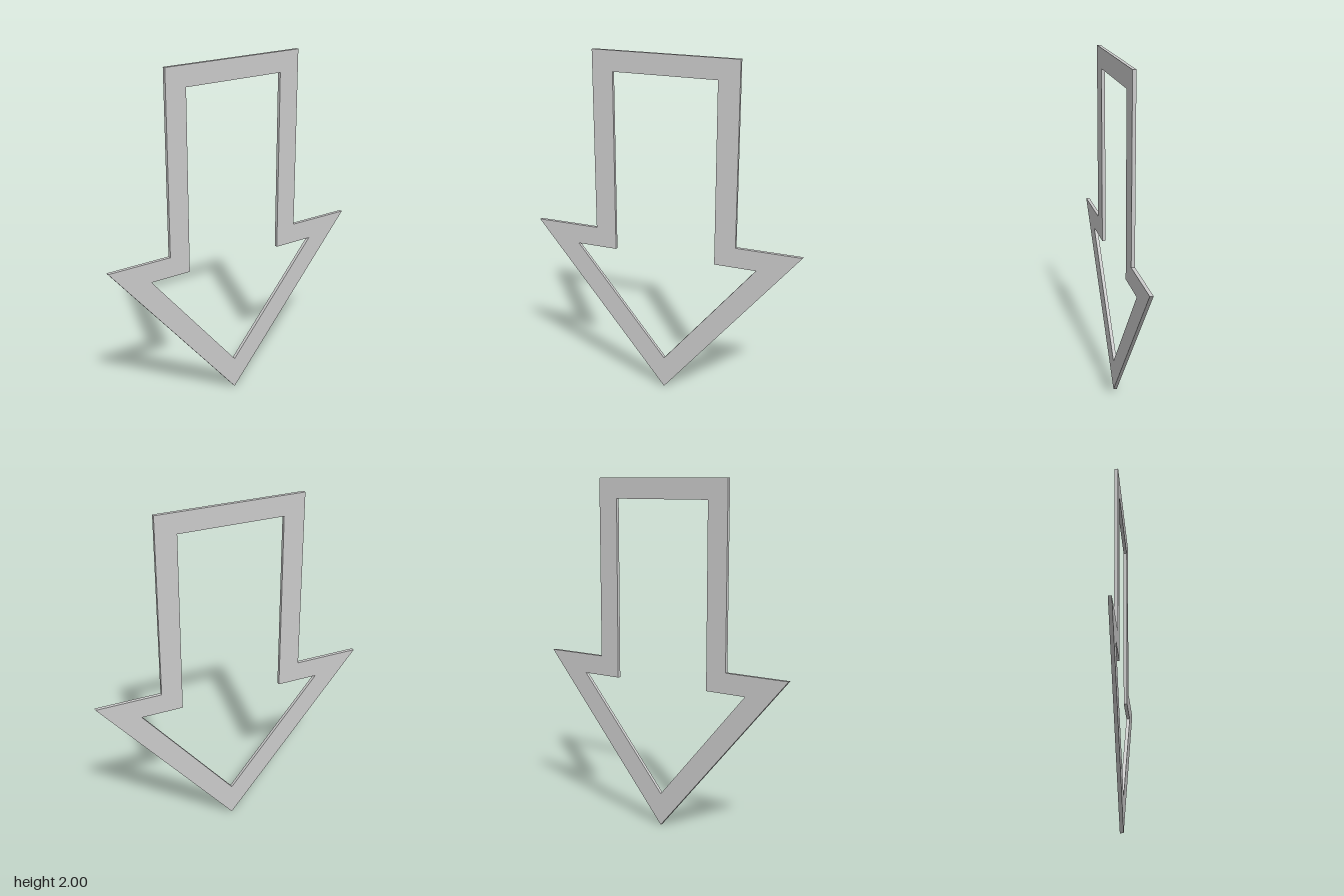
import * as THREE from 'three';

const DEPTH = 0.02;

// Mirrored arrow outline from its +x half, listed tip to top
function arrowPoints(half) {
  const right = half.map(([x, y]) => new THREE.Vector2(x, y));
  const left = half.slice(1).reverse().map(([x, y]) => new THREE.Vector2(-x, y));
  return [...right, ...left];
}

export function createModel() {
  const group = new THREE.Group();
  group.name = 'downArrow';

  // Outer edge of the frame, with the inner arrow cut out
  const shape = new THREE.Shape(arrowPoints([
    [0, 0], [0.805, 0.963], [0.426, 0.963], [0.426, 2],
  ]));
  shape.holes.push(new THREE.Path(arrowPoints([
    [0, 0.191], [0.548, 0.847], [0.304, 0.847], [0.304, 1.884],
  ])));

  // Thin flat plate centred on z = 0
  const geometry = new THREE.ExtrudeGeometry(shape, { depth: DEPTH, bevelEnabled: false });
  geometry.translate(0, 0, -DEPTH / 2);

  const frame = new THREE.Mesh(
    geometry,
    new THREE.MeshStandardMaterial({ color: 0xcccccc, flatShading: true }),
  );
  frame.name = 'arrowFrame';
  group.add(frame);
  return group;
}
